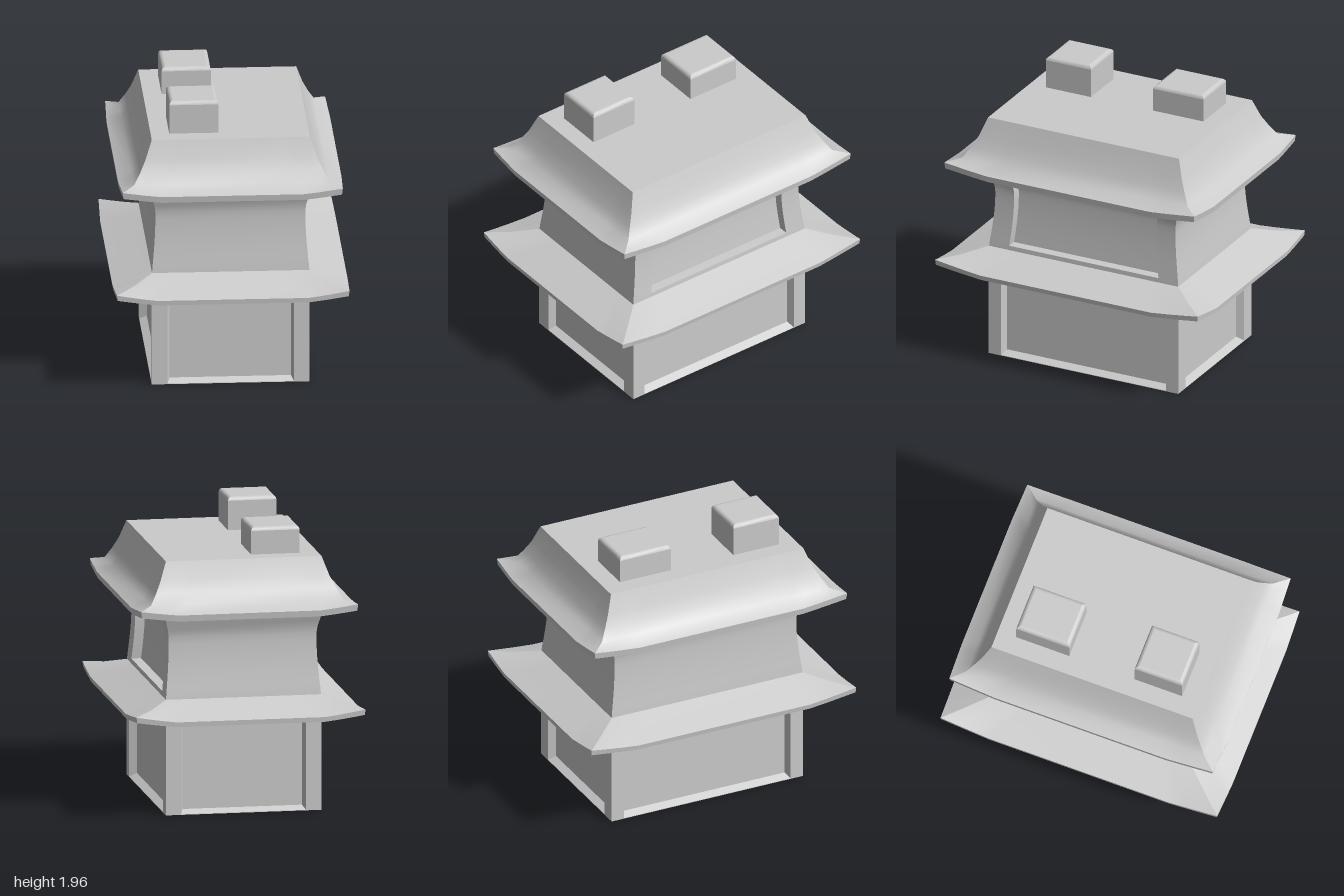
import * as THREE from 'three';
import { mergeGeometries } from 'three/addons/utils/BufferGeometryUtils.js';

const material = new THREE.MeshStandardMaterial({ color: 0xcccccc });
const lerp = THREE.MathUtils.lerp;

// Places a point given as (along the wall, height, outward) on side 0 front, 1 left, 2 back, 3 right.
function onSide(k, a, y, out) {
  return [[a, y, out], [out, y, -a], [-a, y, -out], [-out, y, a]][k];
}

// Smooth grid surface from fn(u, v), seen with u to the right and v up.
function patch(fn, nu, nv) {
  const pos = [], index = [], row = nu + 1;
  for (let j = 0; j <= nv; j++)
    for (let i = 0; i <= nu; i++) pos.push(...fn(i / nu, j / nv));
  for (let j = 0; j < nv; j++)
    for (let i = 0; i < nu; i++) {
      const p = j * row + i;
      index.push(p, p + 1, p + row + 1, p, p + row + 1, p + row);
    }
  const g = new THREE.BufferGeometry();
  g.setAttribute('position', new THREE.Float32BufferAttribute(pos, 3));
  g.setIndex(index);
  g.computeVertexNormals();
  return g;
}

// Four-sided band through rows [halfX, halfZ, y, cornerLift, cornerPull].
const knots = [-1, -0.9, -0.78, -0.65, 0.65, 0.78, 0.9, 1];
function band(rows) {
  const sides = [0, 1, 2, 3].map(k => patch((u, v) => {
    const [hx, hz, y, lift = 0, pull = 0] = rows[Math.round(v * (rows.length - 1))];
    const [along, out] = k % 2 ? [hz, hx] : [hx, hz];
    const t = knots[Math.round(u * (knots.length - 1))];
    const f = Math.max(0, (Math.abs(t) - 0.65) / 0.35);
    return onSide(k, t * (along - pull), y + lift * Math.pow(f, 1.15), out - pull * f);
  }, knots.length - 1, rows.length - 1));
  return mergeGeometries(sides);
}

// Horizontal rectangle facing up or down.
function cap(hx, hz, y, down = false) {
  const g = new THREE.PlaneGeometry(2 * hx, 2 * hz).rotateX(down ? Math.PI / 2 : -Math.PI / 2);
  g.translate(0, y, 0);
  g.deleteAttribute('uv');
  return g;
}

// One wall of a storey; an optional hole gives it a recessed panel.
function wall(k, storey, hole) {
  const { hx, hz, y0, y1, inset } = storey;
  const [along, out] = k % 2 ? [hz, hx] : [hx, hz];
  const [alongBow, outBow] = k % 2 ? [1.4, 1] : [1, 1.4];
  const place = (a, y, d) => {
    const s = inset(y);
    return onSide(k, a * (along - alongBow * s) / along, y, out - outBow * s - d);
  };
  const rect = (w, b, t, d) => [[-w, b, d], [w, b, d], [w, t, d], [-w, t, d]];
  const mix = (p, q, t) => p.map((c, i) => lerp(c, q[i], t));
  const fill = r => patch((u, v) => place(...mix(mix(r[0], r[1], u), mix(r[3], r[2], u), v)), 1, 12);
  const outer = rect(along, y0, y1, 0);
  if (!hole) return fill(outer);

  const rim = rect(hole.w, hole.bottom, hole.top, 0);
  const back = rect(hole.w - hole.bevel, hole.bottom + hole.ledge, hole.top - hole.bevel, hole.depth);
  const ring = (A, B) => A.map((_, i) => {
    const j = (i + 1) % 4;
    return patch((u, v) => place(...mix(mix(A[i], A[j], u), mix(B[i], B[j], u), v)), 12, 2);
  });
  return mergeGeometries([...ring(outer, rim), ...ring(rim, back), fill(back)]);
}

export function createModel() {
  const model = new THREE.Group();
  const add = (name, geometry, parent = model) => {
    const mesh = new THREE.Mesh(geometry, material);
    mesh.name = name;
    parent.add(mesh);
    return mesh;
  };
  const sideNames = ['front', 'left', 'back', 'right'];

  // Lower storey with a recessed panel on each side
  const lower = new THREE.Group();
  lower.name = 'lowerStorey';
  model.add(lower);
  const lowerShape = { hx: 0.53, hz: 0.715, y0: 0, y1: 0.71, inset: () => 0 };
  for (let k = 0; k < 4; k++) {
    const hole = { w: k % 2 ? 0.622 : 0.425, bottom: 0.004, top: 0.665, bevel: 0.018, ledge: 0.026, depth: 0.05 };
    add(sideNames[k] + 'LowerWall', wall(k, lowerShape, hole), lower);
  }
  add('floor', cap(0.53, 0.715, 0, true), lower);

  // Lower eave: underside, fascia and sloping top with lifted corners
  add('lowerEave', mergeGeometries([
    band([[0.52, 0.705, 0.705], [0.785, 0.997, 0.657, 0.035, 0.01]]),
    band([[0.785, 0.997, 0.657, 0.035, 0.01], [0.79, 1, 0.69, 0.04, 0.01]]),
    band([[0.79, 1, 0.69, 0.04, 0.01], [0.66, 0.86, 0.737, 0.012, 0.003], [0.52, 0.705, 0.792]]),
  ]));

  // Upper storey with waisted walls and one recessed opening
  const upper = new THREE.Group();
  upper.name = 'upperStorey';
  model.add(upper);
  const waist = new THREE.SplineCurve(
    [0, 0.01, 0.019, 0.024, 0.022, -0.004].map((s, i) => new THREE.Vector2(i, s)));
  const upperShape = {
    hx: 0.528, hz: 0.714, y0: 0.785, y1: 1.345,
    inset: y => waist.getPoint(THREE.MathUtils.clamp((y - 0.785) / 0.56, 0, 1)).y,
  };
  const opening = { w: 0.565, bottom: 0.82, top: 1.31, bevel: 0.002, ledge: 0.002, depth: 0.065 };
  for (let k = 0; k < 4; k++)
    add(sideNames[k] + 'UpperWall', wall(k, upperShape, k === 1 ? opening : null), upper);

  // Moulding under the roof
  add('cornice', mergeGeometries([
    band([[0.52, 0.705, 1.338], [0.6, 0.775, 1.35], [0.645, 0.815, 1.368]]),
    band([[0.645, 0.815, 1.368], [0.65, 0.82, 1.405]]),
  ]));

  // Roof: eave underside, fascia, flared slope and flat top
  add('roof', mergeGeometries([
    band([[0.64, 0.81, 1.398], [0.745, 0.95, 1.368, 0.028, 0.012]]),
    band([[0.745, 0.95, 1.368, 0.028, 0.012], [0.75, 0.955, 1.41, 0.03, 0.012]]),
    band([[0.75, 0.955, 1.41, 0.03, 0.012], [0.655, 0.85, 1.46, 0.003], [0.612, 0.805, 1.535],
      [0.575, 0.765, 1.61], [0.53, 0.72, 1.735]]),
    cap(0.53, 0.72, 1.735),
  ]));

  // Chimneys with rounded top edges
  for (const [name, z, hz, top] of [['frontChimney', 0.428, 0.17, 1.96], ['backChimney', -0.4, 0.19, 1.92]]) {
    const hx = 0.165, r = 0.025;
    const rounded = [0, 1, 2, 3].map(i => {
      const a = i * Math.PI / 6, d = r * (1 - Math.cos(a));
      return [hx - d, hz - d, top - r + r * Math.sin(a)];
    });
    const chimney = add(name, mergeGeometries([
      band([[hx, hz, 1.72], [hx, hz, top - r]]),
      band(rounded),
      cap(hx - r, hz - r, top),
    ]));
    chimney.position.set(-0.24, 0, z);
  }
  return model;
}
